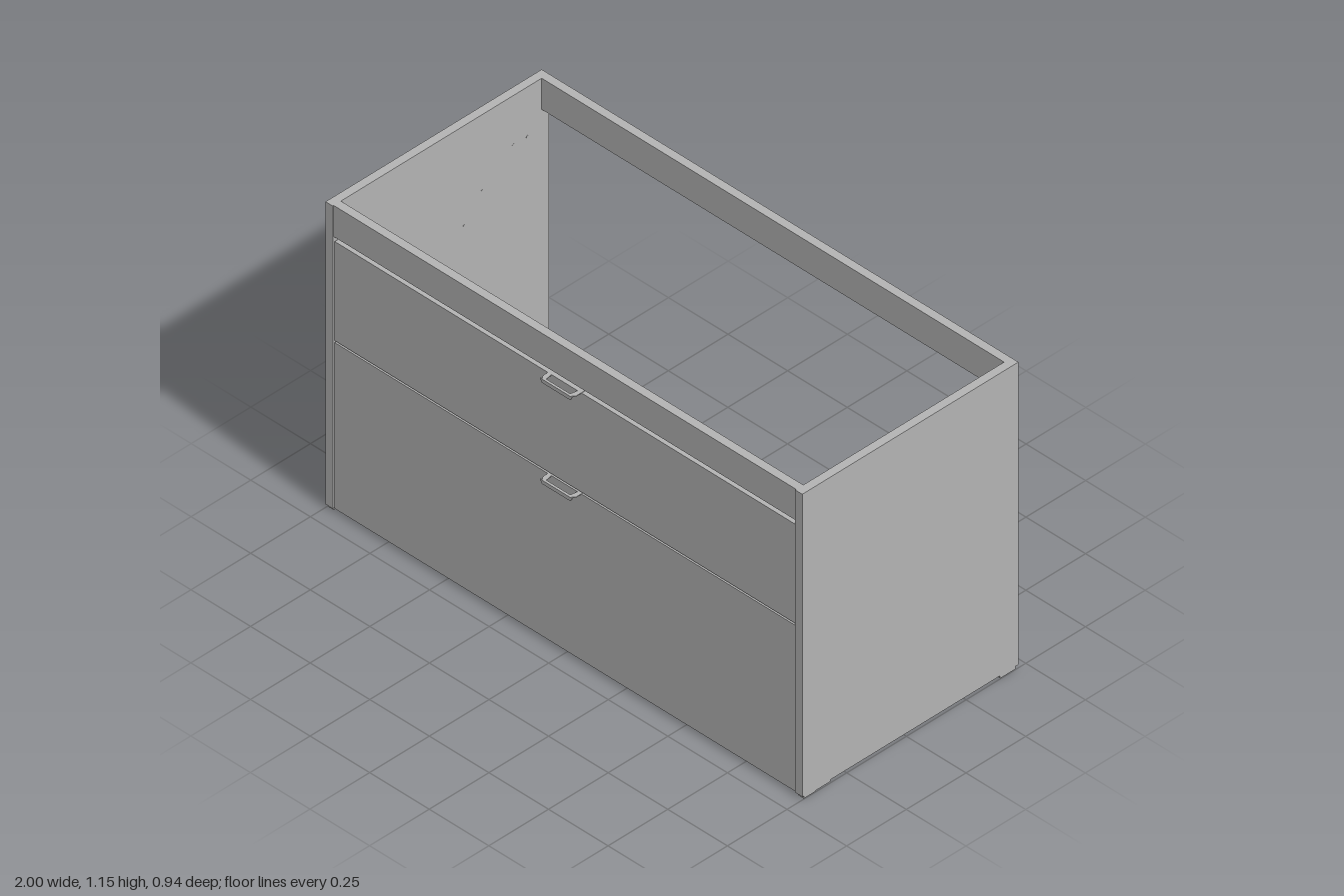
import * as THREE from 'three';

export function createModel() {
  const model = new THREE.Group();
  model.name = 'drawerCabinet';
  const grey = new THREE.MeshStandardMaterial({ color: 0xb3b3b3 });
  grey.name = 'plainGrey';

  // box from its limits along each axis
  function box(name, [x0, x1], [y0, y1], [z0, z1]) {
    const mesh = new THREE.Mesh(new THREE.BoxGeometry(x1 - x0, y1 - y0, z1 - z0), grey);
    mesh.position.set((x0 + x1) / 2, (y0 + y1) / 2, (z0 + z1) / 2);
    mesh.name = name;
    model.add(mesh);
    return mesh;
  }

  // small flush screw cap lying on a surface
  const capGeometry = new THREE.CylinderGeometry(0.006, 0.006, 0.002, 12);
  function cap(axis, x, y, z) {
    const mesh = new THREE.Mesh(capGeometry, grey);
    mesh.name = 'screwCap';
    if (axis === 'x') mesh.rotation.z = Math.PI / 2;
    else mesh.rotation.x = Math.PI / 2;
    mesh.position.set(x, y, z);
    model.add(mesh);
  }

  const inner = 0.97;
  const across = [-inner, inner];

  // side panels, feet and the caps on their inner faces
  const sideCaps = [
    [0.96, -0.32], [0.96, -0.38], [0.86, -0.19], [0.77, -0.115], [0.76, 0.07],
    [0.84, 0.33], [0.76, 0.33], [0.24, -0.19], [0.11, 0.08], [0.17, 0.19],
    [0.41, 0.36], [0.34, 0.36], [0.27, 0.36], [0.2, 0.36],
  ];
  for (const s of [-1, 1]) {
    const side = s > 0 ? [inner, 1] : [-1, -inner];
    const foot = s > 0 ? [0.974, 0.998] : [-0.998, -0.974];
    box('sidePanel', side, [0.012, 1.147], [-0.469, 0.436]);
    box('frontFoot', foot, [0, 0.012], [0.378, 0.428]);
    box('frontFootPad', foot, [0.003, 0.012], [0.315, 0.378]);
    box('backFoot', foot, [0, 0.012], [-0.46, -0.395]);
    for (const [y, z] of sideCaps) cap('x', s * inner, y, z);
  }

  // floor and cross rails
  box('floor', across, [0.012, 0.042], [-0.335, 0.402]);
  box('frontTopRail', across, [1.03, 1.147], [0.402, 0.432]);
  box('backTopRail', across, [1.03, 1.147], [-0.469, -0.439]);
  box('backBottomRail', across, [0.012, 0.133], [-0.365, -0.335]);
  for (const x of [-0.79, 0, 0.79]) {
    cap('z', x, 1.09, -0.469);
    cap('z', x, 0.07, -0.365);
  }

  // bow handle: flat plate with an opening, and a tapered lip turned down
  function handle(y) {
    const group = new THREE.Group();
    group.name = 'handle';
    const polygon = (Type, points) => new Type(points.map(([a, b]) => new THREE.Vector2(a, b)));
    const plate = polygon(THREE.Shape,
      [[-0.07, 0], [0.07, 0], [0.07, 0.05], [0.06, 0.064], [-0.06, 0.064], [-0.07, 0.05]]);
    plate.holes.push(polygon(THREE.Path,
      [[-0.055, 0.03], [-0.05, 0.056], [0.05, 0.056], [0.055, 0.03]]));
    const plateGeometry = new THREE.ExtrudeGeometry(plate, { depth: 0.003, bevelEnabled: false });
    plateGeometry.rotateX(Math.PI / 2);
    const top = new THREE.Mesh(plateGeometry, grey);
    top.name = 'handlePlate';
    const lip = polygon(THREE.Shape, [[-0.068, 0], [-0.06, -0.014], [0.06, -0.014], [0.068, 0]]);
    const front = new THREE.Mesh(
      new THREE.ExtrudeGeometry(lip, { depth: 0.003, bevelEnabled: false }), grey);
    front.name = 'handleLip';
    front.position.z = 0.062;
    group.add(top, front);
    group.position.set(0, y, 0.404);
    model.add(group);
  }

  // drawer fronts, each with a lipped strip behind and a handle on its top edge
  for (const [y0, y1] of [[0.012, 0.635], [0.642, 1.014]]) {
    box('drawerFront', [-0.966, 0.966], [y0, y1], [0.402, 0.432]);
    box('backingStrip', [-0.96, 0.96], [y0 + 0.085, y0 + 0.122], [0.386, 0.402]);
    box('stripLip', [-0.96, 0.96], [y0 + 0.085, y0 + 0.093], [0.358, 0.386]);
    handle(y1 + 0.002);
  }
  for (const x of [0.92, 0.38, 0.03]) {
    for (const s of [-1, 1]) cap('z', s * x, 0.98, 0.402);
  }
  return model;
}
